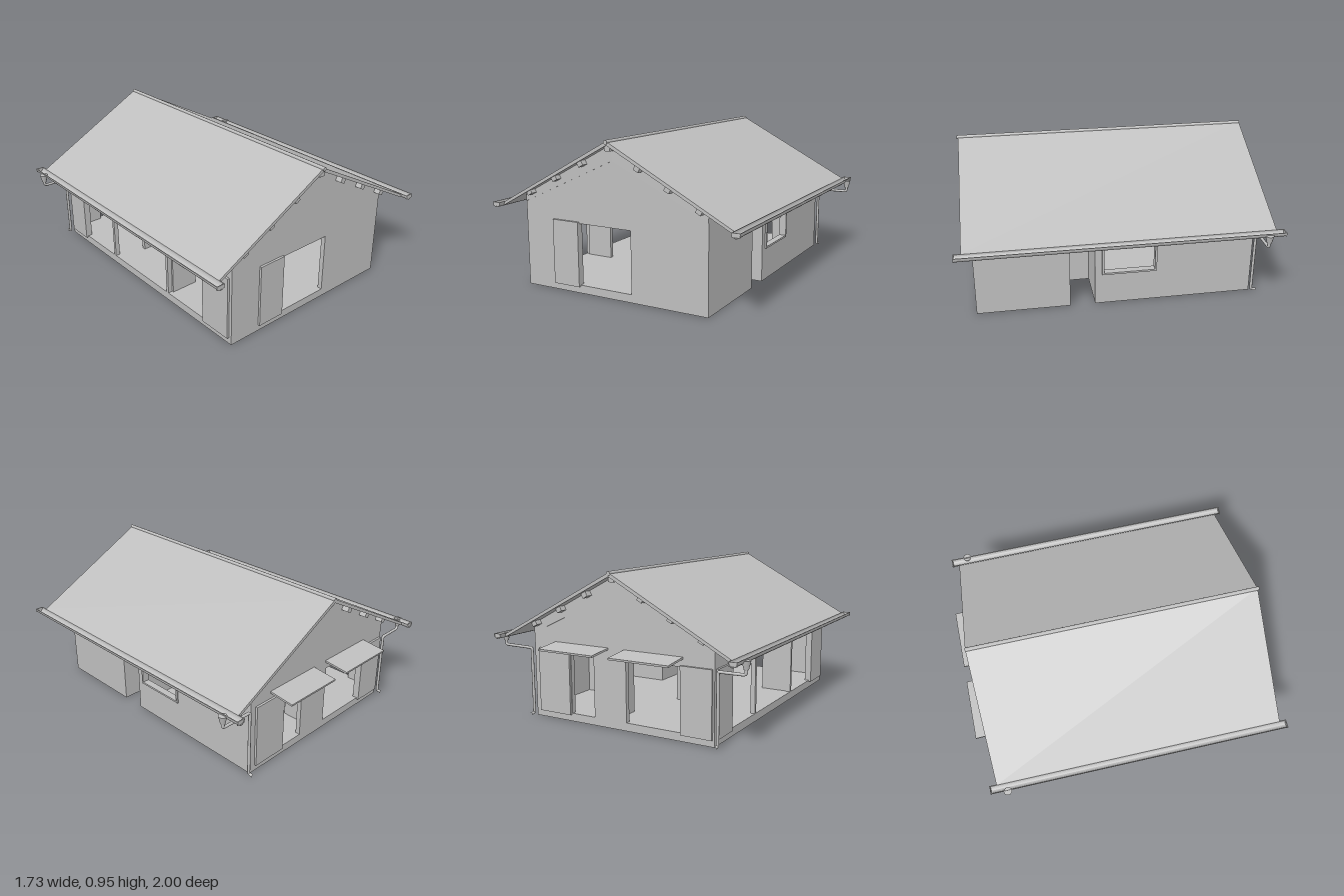
import * as THREE from 'three';

const grey = new THREE.MeshStandardMaterial({ color: 0xbebebe });
grey.name = 'plain grey';

// House body limits
const X0 = -0.65, X1 = 0.61, Z0 = -0.84, Z1 = 0.9, RIDGE = -0.01, T = 0.03;

export function createModel() {
  const house = new THREE.Group();
  house.name = 'house';

  const add = (name, geometry, parent = house) => {
    const mesh = new THREE.Mesh(geometry, grey);
    mesh.name = name;
    parent.add(mesh);
    return mesh;
  };
  // Box from its limits
  const block = (name, xa, xb, ya, yb, za, zb) => {
    const g = new THREE.BoxGeometry(xb - xa, yb - ya, zb - za);
    g.translate((xa + xb) / 2, (ya + yb) / 2, (za + zb) / 2);
    return add(name, g);
  };
  const polygon = (pts) => new THREE.Shape(pts.map(([x, y]) => new THREE.Vector2(x, y)));
  // Outline with rectangular openings [a, b, low, high], extruded
  const slab = (pts, depth, openings = []) => {
    const shape = polygon(pts);
    for (const [a, b, lo, hi] of openings) {
      shape.holes.push(new THREE.Path([[a, lo], [a, hi], [b, hi], [b, lo]].map(([x, y]) => new THREE.Vector2(x, y))));
    }
    return new THREE.ExtrudeGeometry(shape, { depth, bevelEnabled: false, curveSegments: 10 });
  };

  // Gable walls
  const gable = [[X0, 0], [X1, 0], [X1, 0.53], [RIDGE, 0.82], [X0, 0.53]];
  add('frontWall', slab(gable, T, [[-0.255, 0.11, 0.05, 0.43]])).position.z = Z1 - T;
  add('backWall', slab(gable, T, [[0.16, 0.33, 0.05, 0.43], [-0.44, -0.07, 0.05, 0.43]])).position.z = Z0;

  // Side walls, drawn along z and turned
  const sideWall = (name, x, pts, openings) => {
    const g = slab(pts, T, openings);
    g.rotateY(-Math.PI / 2);
    add(name, g).position.x = x;
  };
  const za = Z0 + T, zb = Z1 - T;
  sideWall('windowSideWall', X1,
    [[za, 0], [0.165, 0], [0.165, 0.49], [0.32, 0.49], [0.32, 0], [zb, 0], [zb, 0.53], [za, 0.53]],
    [[-0.215, 0.11, 0.215, 0.4]]);
  sideWall('openSideWall', X0 + T, [[za, 0], [zb, 0], [zb, 0.53], [za, 0.53]],
    [[-0.64, -0.3, 0.05, 0.43], [-0.28, 0.29, 0.05, 0.43], [0.31, 0.66, 0.05, 0.43]]);

  // Floor, notched for the entrance recess
  const floor = slab([[X0 + T, -zb], [X1 - T, -zb], [X1 - T, -0.32], [0.31, -0.32], [0.31, -0.165],
    [X1 - T, -0.165], [X1 - T, -za], [X0 + T, -za]], 0.01);
  floor.rotateX(-Math.PI / 2);
  add('floor', floor).position.y = 0.04;

  // Entrance recess with its door
  block('recessSide', 0.31, X1 - T, 0, 0.53, 0.135, 0.165);
  block('recessSide', 0.31, X1 - T, 0, 0.53, 0.32, 0.35);
  block('recessBack', 0.28, 0.31, 0, 0.53, 0.135, 0.35);
  block('recessCeiling', 0.31, X1 - T, 0.49, 0.53, 0.165, 0.32);
  block('entranceDoor', 0.31, 0.318, 0.05, 0.43, 0.225, 0.319);

  // Inner partitions
  const partitions = [
    [0.12, 0.145, 0.15, 0.45], [-0.04, 0.12, 0.29, 0.315], [0.02, 0.045, za, -0.62],
    [-0.45, -0.07, -0.25, -0.225], [X0 + T, -0.44, 0.297, 0.322], [0.48, X1 - T, -0.34, -0.315],
  ];
  for (const [a, b, c, d] of partitions) block('partition', a, b, 0, 0.56, c, d);

  // Sliding shutters
  block('frontShutter', -0.44, -0.255, 0.04, 0.44, Z1, 0.914);
  block('backShutter', 0.335, 0.57, 0.04, 0.44, -0.854, Z0);
  block('backShutter', -0.64, -0.44, 0.04, 0.44, -0.854, Z0);
  block('sideShutter', -0.664, X0, 0.04, 0.44, -0.82, -0.64);
  block('sideShutter', -0.664, X0, 0.04, 0.44, 0.66, 0.88);

  // Window frame
  for (const [a, b] of [[0.205, 0.217], [0.398, 0.41]]) block('windowFrame', 0.575, 0.62, a, b, -0.225, 0.12);
  for (const [a, b] of [[-0.225, -0.213], [0.108, 0.12]]) block('windowFrame', 0.575, 0.62, 0.217, 0.398, a, b);

  // Awnings over the back openings
  for (const x of [0.25, -0.255]) {
    const awning = add('awning', new THREE.BoxGeometry(0.395, 0.012, 0.162));
    awning.position.set(x, 0.473, -0.919);
    awning.rotation.x = -0.11;
  }

  // Roof: inner layer over the walls, thin overhanging skin
  add('roofLayer', slab([[X0, 0.53], [RIDGE, 0.82], [X1, 0.53], [X1, 0.588], [RIDGE, 0.917], [X0, 0.577]],
    Z1 - Z0 + 0.004)).position.z = Z0 - 0.002;
  add('roofSkin', slab([[-0.79, 0.498], [RIDGE, 0.915], [0.785, 0.498], [0.785, 0.518], [RIDGE, 0.938], [-0.79, 0.518]],
    1.865)).position.z = -0.913;
  const cap = add('ridgeCap', new THREE.CylinderGeometry(0.013, 0.013, 1.875, 8));
  cap.rotation.x = Math.PI / 2;
  cap.position.set(RIDGE, 0.933, 0.023);

  // Purlin ends under the overhangs
  for (let i = -3; i <= 3; i++) {
    for (const z of [0.918, -0.862]) {
      const purlin = add('purlinEnd', new THREE.BoxGeometry(0.036, 0.032, 0.05));
      purlin.position.set(RIDGE + i * 0.194, 0.897 - Math.abs(i) * 0.1, z);
      purlin.rotation.z = -Math.sign(i) * 0.49;
    }
  }

  // Gutters and downpipes on both eaves
  const rim = [];
  for (let i = 0; i <= 8; i++) rim.push([-Math.cos(i * Math.PI / 8) * 0.027, -Math.sin(i * Math.PI / 8) * 0.032]);
  for (let i = 8; i >= 0; i--) rim.push([-Math.cos(i * Math.PI / 8) * 0.022, -Math.sin(i * Math.PI / 8) * 0.027]);
  for (const s of [-1, 1]) {
    add('gutter', slab(rim, 1.955)).position.set(s * 0.812, 0.522, -0.96);
    for (const z of [-0.958, 0.99]) block('gutterEnd', s * 0.812 - 0.025, s * 0.812 + 0.025, 0.498, 0.522, z, z + 0.005);

    const px = s * 0.84;
    add('funnel', new THREE.CylinderGeometry(0.026, 0.014, 0.05, 12)).position.set(px, 0.488, -0.85);
    const wx = s < 0 ? -0.675 : 0.628;
    const points = [[px, 0.47, -0.85], [px, 0.445, -0.85], [px - s * 0.012, 0.435, -0.85],
      [wx + s * 0.015, 0.433, -0.85], [wx, 0.418, -0.85], [wx, 0.03, -0.85], [wx, 0.015, -0.858], [wx, 0.011, -0.88]];
    const path = new THREE.CatmullRomCurve3(points.map((p) => new THREE.Vector3(...p)), false, 'catmullrom', 0.15);
    add('downpipe', new THREE.TubeGeometry(path, 90, 0.009, 10));
  }

  return house;
}
